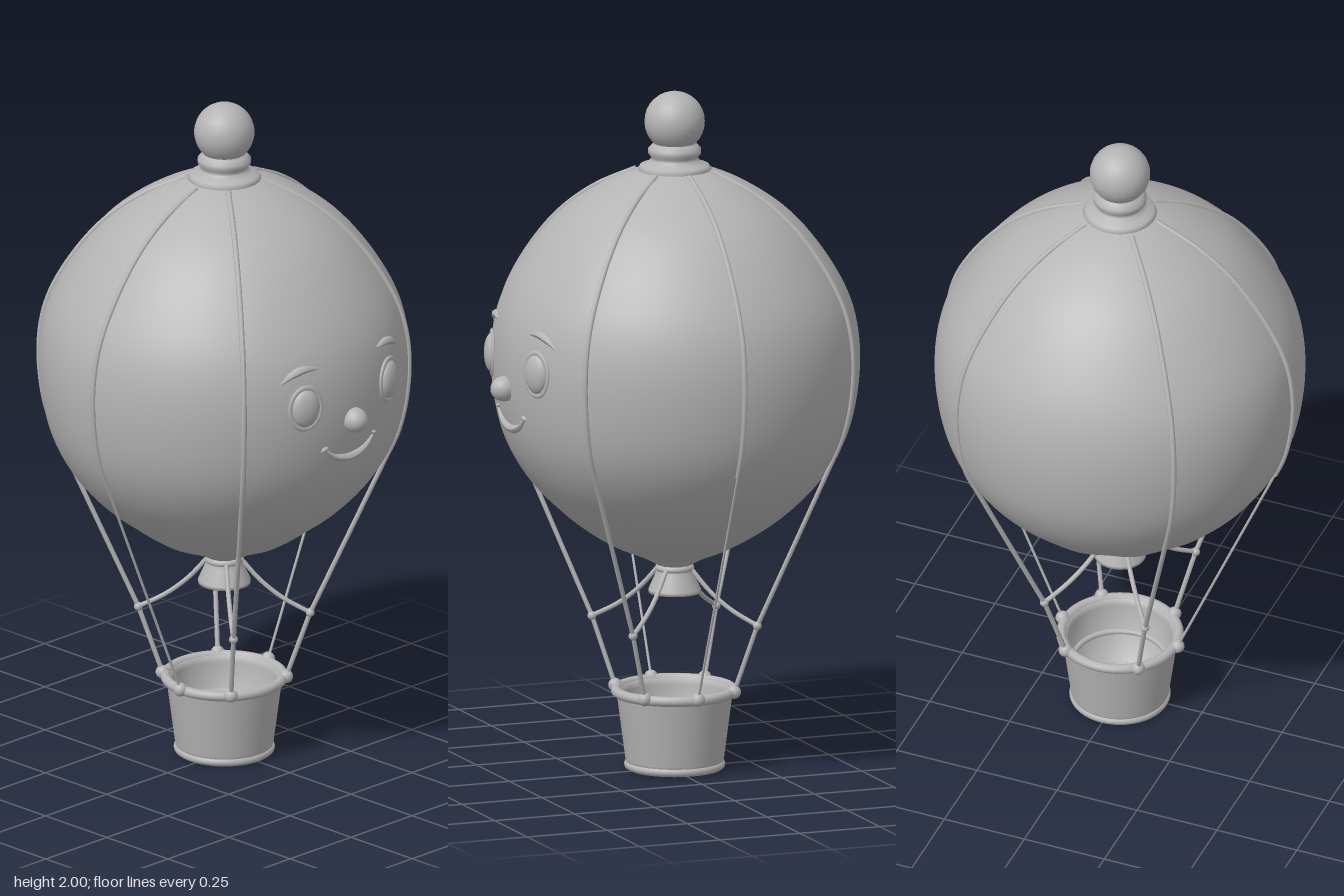
import * as THREE from 'three';

const V = (x, y, z) => new THREE.Vector3(x, y, z);
const P = list => list.map(([r, y]) => new THREE.Vector2(r, y));

// Balloon profile: radius and height, bottom to top
const profile = new THREE.SplineCurve(P([
  [0.045, 0.6], [0.09, 0.625], [0.2, 0.675], [0.33, 0.765], [0.44, 0.88], [0.51, 1.02], [0.537, 1.2],
  [0.518, 1.36], [0.45, 1.5], [0.345, 1.63], [0.22, 1.72], [0.1, 1.772], [0, 1.785],
])).getPoints(72);

function radiusAt(y) {
  const i = Math.max(1, profile.findIndex(p => p.y >= y));
  const a = profile[i - 1], b = profile[i];
  return THREE.MathUtils.mapLinear(y, a.y, b.y, a.x, b.x);
}
const polar = (angle, r, y) => V(Math.cos(angle) * r, y, Math.sin(angle) * r);

// Point on the face side (+x) of the balloon
function facePoint(z, y, out = 0) {
  return V(Math.sqrt(radiusAt(y) ** 2 - z * z) - 0.008 + out, y, z);
}

export function createModel() {
  const grey = new THREE.MeshStandardMaterial({ color: 0xb4b4b4 });
  grey.name = 'plain grey';
  const model = new THREE.Group();
  model.name = 'hotAirBalloon';
  const body = new THREE.Group();
  body.name = 'balloonAssembly';
  body.position.x = -0.017;
  model.add(body);

  const add = (name, geometry, position) => {
    const mesh = new THREE.Mesh(geometry, grey);
    mesh.name = name;
    if (position) mesh.position.copy(position);
    body.add(mesh);
    return mesh;
  };
  const tube = (name, points, radius, segments = 24) =>
    add(name, new THREE.TubeGeometry(new THREE.CatmullRomCurve3(points), segments, radius, 8));
  const ball = (name, position, r) => add(name, new THREE.SphereGeometry(r, 24, 16), position);
  const ring = (name, r, y, thickness) => {
    const mesh = add(name, new THREE.TorusGeometry(r, thickness, 10, 48), V(0, y, 0));
    mesh.rotation.x = Math.PI / 2;
    return mesh;
  };
  // Tube that thins towards both ends
  const taperedTube = (name, points, radius) => {
    const curve = new THREE.CatmullRomCurve3(points), n = 24, sides = 8;
    const g = new THREE.TubeGeometry(curve, n, radius, sides);
    const pos = g.attributes.position, v = V(0, 0, 0);
    for (let i = 0; i < pos.count; i++) {
      const t = Math.floor(i / (sides + 1)) / n;
      const c = curve.getPointAt(t);
      v.fromBufferAttribute(pos, i).sub(c).multiplyScalar(0.25 + 0.75 * Math.sin(Math.PI * t)).add(c);
      pos.setXYZ(i, v.x, v.y, v.z);
    }
    g.computeVertexNormals();
    return add(name, g);
  };

  // Envelope, gathered into soft folds near the neck and flatter on the face side
  const envelope = new THREE.LatheGeometry(profile, 96);
  const pos = envelope.attributes.position;
  for (let i = 0; i < pos.count; i++) {
    const x = pos.getX(i), y = pos.getY(i), z = pos.getZ(i);
    const angle = Math.atan2(z, x);
    const fold = THREE.MathUtils.clamp((0.82 - y) / 0.15, 0, 1);
    const front = Math.max(0, Math.cos(angle)) ** 6 * Math.hypot(x, z) * 0.015;
    const s = 1 + 0.025 * fold * Math.cos(angle * 12);
    pos.setXYZ(i, x * s - front, y, z * s);
  }
  // Averaged normals, matched across the closing seam
  envelope.computeVertexNormals();
  const normal = envelope.attributes.normal, row = profile.length;
  for (let j = 0; j < row; j++) {
    const a = V(0, 0, 0).fromBufferAttribute(normal, j), last = pos.count - row + j;
    a.add(V(0, 0, 0).fromBufferAttribute(normal, last)).normalize();
    normal.setXYZ(j, a.x, a.y, a.z);
    normal.setXYZ(last, a.x, a.y, a.z);
  }
  add('envelope', envelope);

  // Crown collar and finial ball
  add('crownCollar', new THREE.LatheGeometry(P([
    [0.08, 1.75], [0.1, 1.762], [0.107, 1.772], [0.1, 1.784], [0.08, 1.79], [0.07, 1.8], [0.068, 1.808],
    [0.077, 1.818], [0.077, 1.832], [0.066, 1.844], [0.056, 1.85], [0.052, 1.865], [0, 1.87],
  ]), 48));
  ball('finialBall', V(0, 1.912, 0), 0.088);

  // Open mouth of the envelope
  add('neckSkirt', new THREE.LatheGeometry(P([
    [0.036, 0.6], [0.042, 0.575], [0.066, 0.522], [0.076, 0.52], [0.076, 0.53], [0.056, 0.575], [0.048, 0.6], [0.05, 0.625],
  ]), 40));
  add('neckPlug', new THREE.CylinderGeometry(0.045, 0.045, 0.02, 32), V(0, 0.605, 0));
  ring('neckTie', 0.047, 0.593, 0.01);

  // Six ropes: over the envelope, then straight down to the basket
  const spread = THREE.MathUtils.degToRad(39);
  for (const a of [spread, Math.PI - spread, Math.PI + spread, -spread, Math.PI / 2, -Math.PI / 2]) {
    const side = Math.abs(Math.cos(a)) < 0.01;
    const yLeave = 0.95, over = [];
    for (let i = 0; i <= 16; i++) {
      const y = THREE.MathUtils.lerp(1.768, yLeave, i / 16);
      const dent = Math.max(0, Math.cos(a)) ** 6 * radiusAt(y) * 0.015;
      over.push(polar(a, radiusAt(y) + 0.002 - dent, y));
    }
    tube('seamRope', over, 0.008, 48);
    const leave = over[over.length - 1], rim = polar(a, 0.18, 0.235);
    if (side) {
      tube('sideRope', [leave, rim], 0.004, 1);
    } else {
      const knot = polar(a, 0.25, 0.435);
      tube('upperRope', [leave, knot], 0.007, 1);
      tube('lowerRope', [knot, rim], 0.007, 1);
      tube('neckRope', [knot, polar(a, 0.17, 0.478), polar(a, 0.105, 0.53), polar(a, 0.05, 0.592)], 0.007);
      ball('ropeKnot', knot, 0.013);
    }
    ball('rimKnot', rim, 0.02);
  }

  // Basket with a hollow inside
  add('basket', new THREE.LatheGeometry(P([
    [0, 0.012], [0.138, 0.012], [0.143, 0.03], [0.167, 0.215], [0.172, 0.235],
    [0.155, 0.235], [0.15, 0.215], [0.13, 0.035], [0, 0.035],
  ]), 48));
  ring('basketRim', 0.17, 0.23, 0.015);
  ring('basketBaseRing', 0.134, 0.013, 0.013);
  ring('basketInnerRing', 0.139, 0.13, 0.009);
  for (let i = -4; i <= 4; i++) {
    const x = i * 0.028;
    const slat = add('floorSlat', new THREE.BoxGeometry(0.018, 0.008, 2 * Math.sqrt(0.13 ** 2 - x * x)), V(x, 0.009, 0));
    slat.name = 'floorSlat';
  }

  // Face: eyes, lids, brows and cheek creases on both sides
  for (const s of [-1, 1]) {
    const eye = new THREE.Group();
    eye.name = s > 0 ? 'leftEye' : 'rightEye';
    eye.position.copy(facePoint(0.17 * s, 1.235));
    eye.rotation.y = -s * 0.32;
    const eyeball = new THREE.Mesh(new THREE.SphereGeometry(1, 28, 18), grey);
    eyeball.name = 'eyeball';
    eyeball.scale.set(0.024, 0.058, 0.045);
    const lid = new THREE.Mesh(new THREE.TorusGeometry(0.05, 0.007, 8, 36), grey);
    lid.name = 'eyelid';
    lid.rotation.y = Math.PI / 2;
    lid.scale.set(1, 1.25, 0.8);
    eye.add(eyeball, lid);
    body.add(eye);

    taperedTube('eyebrow', [[0.235, 1.318], [0.205, 1.338], [0.165, 1.35], [0.122, 1.346]]
      .map(([z, y]) => facePoint(z * s, y, 0.003)), 0.013);
    taperedTube('cheekCrease', [[0.235, 0.965], [0.27, 0.97], [0.3, 1.0]]
      .map(([z, y]) => facePoint(z * s, y, -0.003)), 0.007);
    taperedTube('mouthCorner', [[0.112, 1.085], [0.102, 1.092], [0.088, 1.096]]
      .map(([z, y]) => facePoint(z * s, y, 0.002)), 0.007);
  }
  const nose = ball('nose', facePoint(0, 1.163, 0.006), 0.037);
  nose.scale.x = 1.1;
  taperedTube('smile', [[-0.1, 1.09], [-0.06, 1.058], [0, 1.044], [0.06, 1.058], [0.1, 1.09]]
    .map(([z, y]) => facePoint(z, y, 0.002)), 0.013);

  return model;
}
